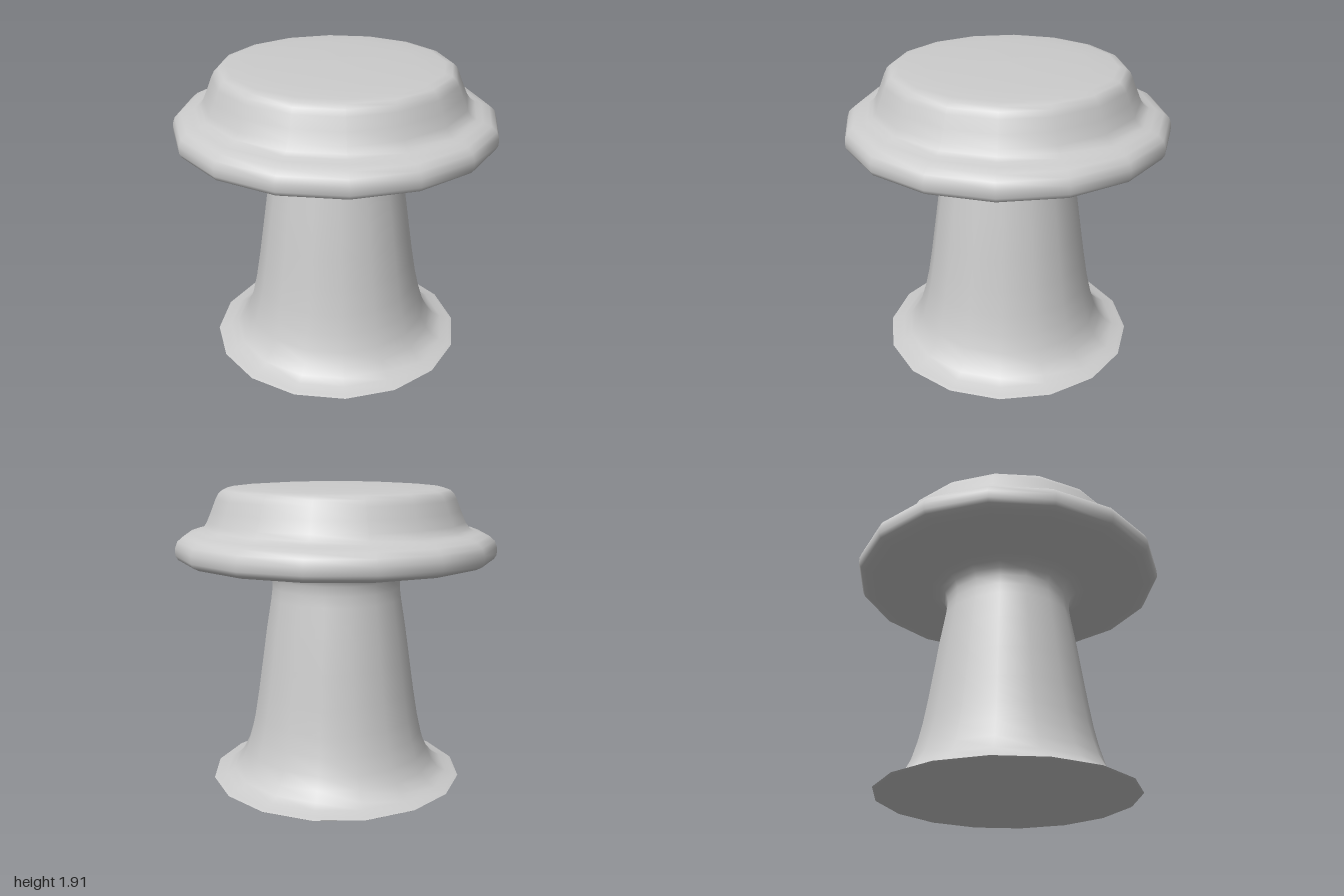
import * as THREE from 'three';

const SIDES = 16;
const material = new THREE.MeshStandardMaterial({ color: 0xcccccc });

// Revolves a list of [radius, height] pairs, ordered so the faces point outward.
function turned(name, profile) {
  const points = profile.map(([r, y]) => new THREE.Vector2(r, y));
  const mesh = new THREE.Mesh(new THREE.LatheGeometry(points, SIDES), material);
  mesh.name = name;
  return mesh;
}

export function createModel() {
  const group = new THREE.Group();
  group.name = 'knob';

  // Nearly flat underside of the foot
  group.add(turned('baseUnderside', [
    [0, 0], [0.45, 0.004], [0.74, 0.014], [0.8, 0.02], [0.812, 0.027],
  ]));

  // Flared foot rising into the tapered neck, then spreading under the cap
  group.add(turned('stem', [
    [0.812, 0.027], [0.79, 0.035], [0.73, 0.05], [0.68, 0.078], [0.635, 0.13],
    [0.595, 0.21], [0.562, 0.32], [0.535, 0.44], [0.507, 0.61], [0.478, 0.81],
    [0.448, 1.02], [0.418, 1.2], [0.409, 1.27], [0.411, 1.33], [0.428, 1.375],
    [0.46, 1.405], [0.51, 1.418],
  ]));

  // Cap with flat underside, rounded rim, sloped shoulder and gently domed top
  group.add(turned('cap', [
    [0.51, 1.418], [0.7, 1.426], [0.88, 1.436], [0.95, 1.447], [0.985, 1.464],
    [1, 1.49], [1, 1.535], [0.985, 1.575], [0.95, 1.605], [0.9, 1.622],
    [0.86, 1.632], [0.83, 1.65], [0.805, 1.685], [0.775, 1.755], [0.747, 1.825],
    [0.73, 1.858], [0.705, 1.88], [0.66, 1.891], [0.5, 1.902], [0.25, 1.91], [0, 1.913],
  ]));

  return group;
}
